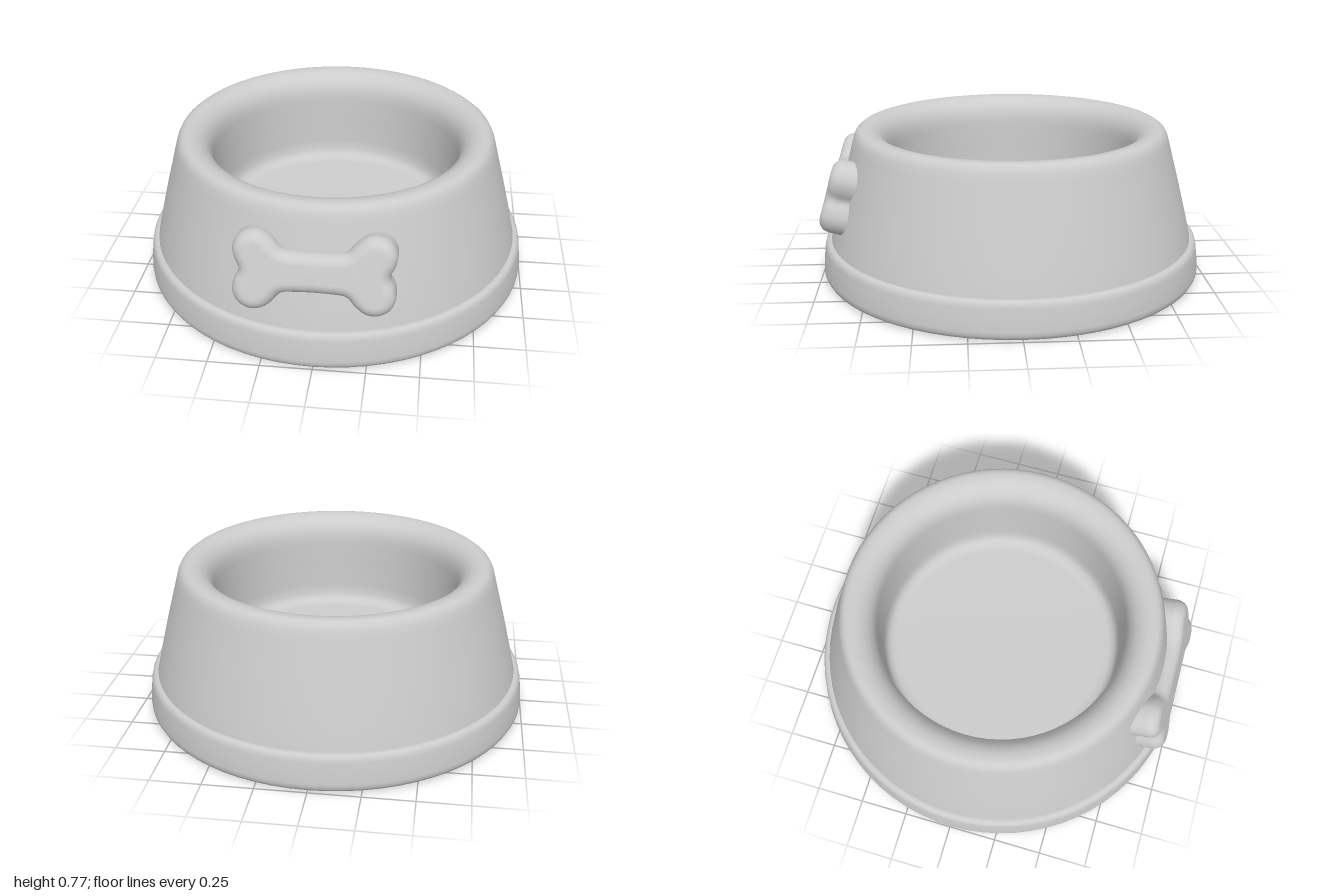
import * as THREE from 'three';
import { mergeVertices } from 'three/addons/utils/BufferGeometryUtils.js';

const grey = new THREE.MeshStandardMaterial({ color: 0xcccccc });
grey.name = 'light grey';

// Revolve a list of [radius, height] pairs
function lathe(name, profile) {
  const points = profile.map(([r, y]) => new THREE.Vector2(r, y));
  const mesh = new THREE.Mesh(new THREE.LatheGeometry(points, 72), grey);
  mesh.name = name;
  return mesh;
}

// Puffy bone, mirrored from one quarter of its outline
function createBone() {
  const quarter = [
    [0.08, 0.098], [0.15, 0.107], [0.185, 0.145], [0.235, 0.183],
    [0.29, 0.19], [0.345, 0.165], [0.375, 0.11], [0.368, 0.05],
  ];
  const flip = (list, sx, sy) => list.map(([x, y]) => [x * sx, y * sy]);
  const back = [...quarter].reverse();
  const loop = [
    ...flip(back, 1, 1), ...flip(quarter, -1, 1), [-0.345, 0],
    ...flip(back, -1, -1), ...flip(quarter, 1, -1), [0.345, 0],
  ].map(([x, y]) => new THREE.Vector3(x, y, 0));
  const outline = new THREE.CatmullRomCurve3(loop, true).getPoints(96).slice(0, -1);
  const shape = new THREE.Shape(outline.map((p) => new THREE.Vector2(p.x, p.y)));

  let geometry = new THREE.ExtrudeGeometry(shape, {
    depth: 0.1, bevelSize: 0.055, bevelOffset: -0.055, bevelThickness: 0.06, bevelSegments: 7,
  });
  geometry.translate(0, 0, -0.16); // front face at local z = 0
  geometry.deleteAttribute('uv');
  geometry.deleteAttribute('normal');
  geometry = mergeVertices(geometry, 1e-4);
  geometry.computeVertexNormals();

  // Leans back with the sloping wall
  const bone = new THREE.Mesh(geometry, grey);
  bone.name = 'boneEmblem';
  bone.position.set(0, 0.49, 0.94);
  bone.rotation.x = -0.28;
  return bone;
}

export function createModel() {
  const model = new THREE.Group();
  model.name = 'petBowl';

  // Foot ring with a flat ledge and closed underside
  model.add(lathe('base', [
    [0, 0], [0.965, 0], [0.972, 0.001], [0.99, 0.008], [0.999, 0.025], [1, 0.045],
    [0.995, 0.1], [0.988, 0.155], [0.983, 0.176], [0.972, 0.187], [0.96, 0.19], [0.9, 0.19],
  ]));

  // Sloping outer wall, rounded rim, inner wall and floor
  model.add(lathe('bowl', [
    [0.957, 0.17], [0.952, 0.2], [0.932, 0.285], [0.907, 0.385], [0.88, 0.49], [0.85, 0.6],
    [0.826, 0.69], [0.815, 0.73], [0.802, 0.755], [0.785, 0.768], [0.765, 0.772],
    [0.735, 0.77], [0.705, 0.76], [0.675, 0.738], [0.652, 0.705], [0.641, 0.665],
    [0.638, 0.62], [0.636, 0.5], [0.634, 0.36], [0.63, 0.31], [0.615, 0.28],
    [0.59, 0.265], [0.55, 0.26], [0, 0.26],
  ]));

  model.add(createBone());
  return model;
}
